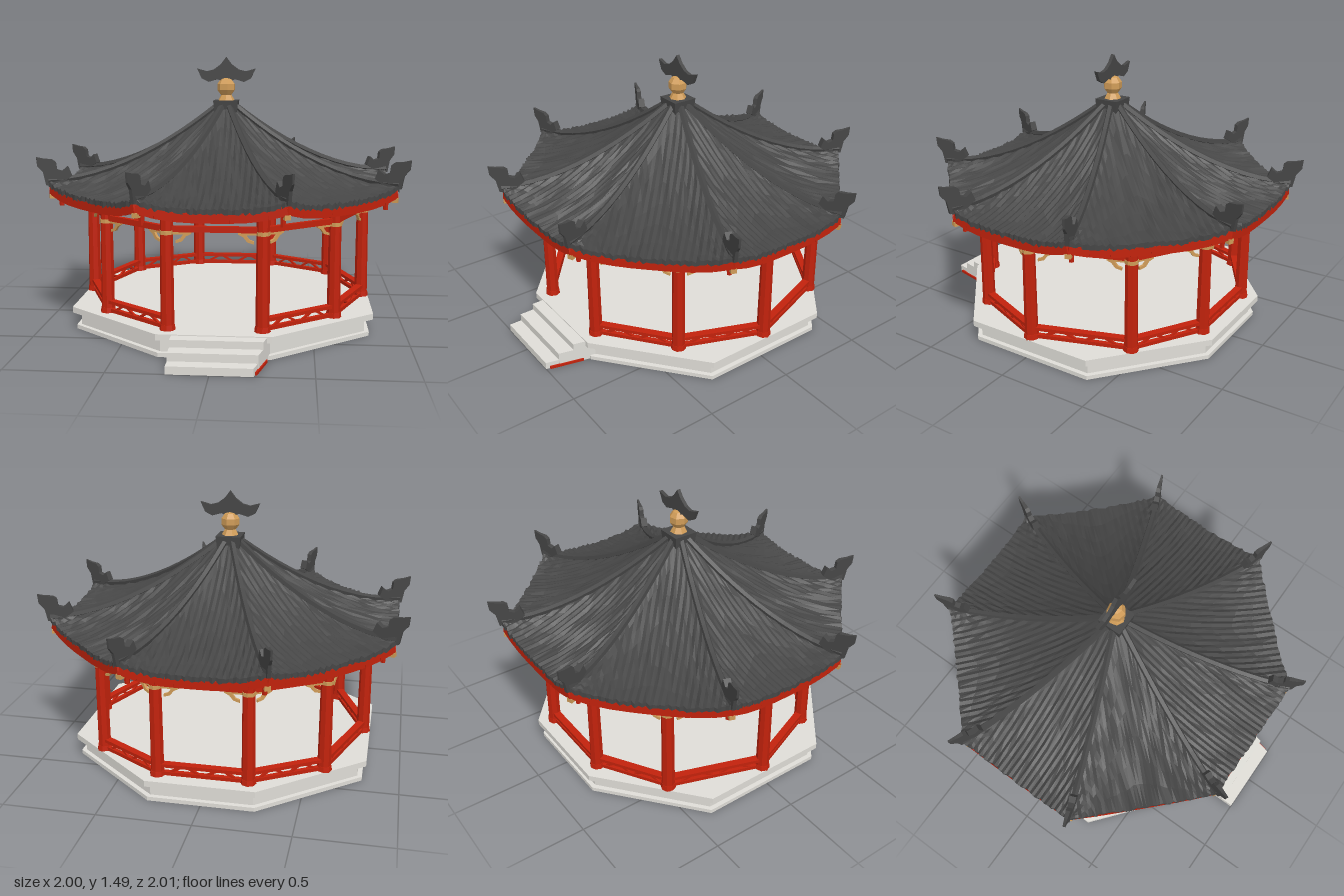
import * as THREE from 'three';

const mat = (name, color, extra = {}) =>
  new THREE.MeshStandardMaterial({ name, color, flatShading: true, ...extra });

// Roof octagon: even faces look along the axes, odd faces are the longer diagonals
const HALF = 0.365, SIDE = 0.94, CZ = -0.025;
const FACES = [
  { eave: SIDE, T: HALF / SIDE },
  { eave: (SIDE + HALF) / Math.SQRT2, T: (SIDE - HALF) / (SIDE + HALF) },
];

// Height of the roof: s = 0 at the axis, 1 at the eave; t = 0 mid face, 1 on the hip
const roofY = (s, t) =>
  0.775 + 0.48 * Math.pow(1 - Math.min(s, 1), 1.75) + 0.045 * s * Math.pow(t, 3);

let seed = 7;
const rand = () => {
  seed = (seed * 16807) % 2147483647;
  return seed / 2147483647 - 0.5;
};

export function createModel() {
  const model = new THREE.Group();
  const tile = mat('roof tile', 0x464646, { side: THREE.DoubleSide });
  const red = mat('red lacquer', 0xc2220c);
  const stone = mat('pale stone', 0xdfddd7);
  const gold = mat('gilded wood', 0xd09c58, { side: THREE.DoubleSide });

  const add = (parent, name, geo, material, x = 0, y = 0, z = 0) => {
    const m = new THREE.Mesh(geo, material);
    m.name = name;
    m.position.set(x, y, z);
    parent.add(m);
    return m;
  };
  const group = (name) => {
    const g = new THREE.Group();
    g.name = name;
    g.position.z = CZ;
    model.add(g);
    return g;
  };
  // Square timber between two points
  const beam = (parent, name, p, q, w, h, material = red) => {
    const m = new THREE.Mesh(new THREE.BoxGeometry(w, h, p.distanceTo(q)), material);
    m.name = name;
    m.position.copy(p).add(q).multiplyScalar(0.5);
    m.lookAt(q);
    parent.add(m);
  };
  // Upright plate cut from an outline, and a slab from a plan given as [x, z]
  const shape = (pts) => new THREE.Shape(pts.map(([x, y]) => new THREE.Vector2(x, y)));
  const plate = (pts, depth) =>
    new THREE.ExtrudeGeometry(shape(pts), { depth, bevelEnabled: false }).translate(0, 0, -depth / 2);
  const slab = (plan, depth) =>
    new THREE.ExtrudeGeometry(shape(plan.map(([x, z]) => [x, -z])), { depth, bevelEnabled: false })
      .rotateX(-Math.PI / 2);

  // Eight-sided platform in three layers
  const platform = group('platform');
  const layer = (name, inset, y0, y1) => {
    const x = 0.82 - inset, z = 0.81 - inset, hx = 0.29 - inset * 0.4, hz = 0.37 - inset * 0.4;
    add(platform, name, slab([[hx, z], [x, hz], [x, -hz], [hx, -z],
      [-hx, -z], [-x, -hz], [-x, hz], [-hx, z]], y1 - y0), stone, 0, y0);
  };
  layer('plinth', 0.02, 0, 0.022);
  layer('wall', 0.045, 0.022, 0.092);
  layer('floorSlab', 0, 0.092, 0.125);

  // Front steps, splayed on the left side
  [[1.0, 0.04, 0.21], [0.93, 0.082, 0.23], [0.85, 0.12, 0.25]].forEach(([z, h, x], i) => {
    add(model, 'step' + (i + 1),
      slab([[-0.21, z], [x, z], [x + (z - 0.7) * 0.25, 0.7], [-0.21, 0.7]], h), stone);
  });
  beam(model, 'stepTrim', new THREE.Vector3(0.22, 0.008, 0.98), new THREE.Vector3(0.265, 0.008, 0.8), 0.01, 0.014);

  // Ring of ten columns with beams, brackets and low railings
  const frame = group('frame');
  const half = [[0.24, -0.725], [0.605, -0.505], [0.78, 0], [0.605, 0.44], [0.24, 0.725]];
  const ring = [...half, ...half.map(([x, z]) => [-x, z]).reverse()];
  const bracket = plate([[0, 0.06], [0.09, 0.06], [0.09, 0.048], [0.065, 0.036],
    [0.045, 0.01], [0.012, 0], [0.012, 0.014], [0.034, 0.022], [0.05, 0.045], [0, 0.045]], 0.014);
  for (let i = 0; i < 10; i++) {
    const [x0, z0] = ring[i], [x1, z1] = ring[(i + 1) % 10];
    const at = (f, y) => new THREE.Vector3(x0 + (x1 - x0) * f, y, z0 + (z1 - z0) * f);
    add(frame, 'column', new THREE.CylinderGeometry(0.032, 0.036, 0.64, 8), red, x0, 0.44, z0);
    add(frame, 'columnBase', new THREE.CylinderGeometry(0.038, 0.042, 0.03, 8), red, x0, 0.138, z0);
    add(frame, 'columnCollar', new THREE.CylinderGeometry(0.036, 0.036, 0.02, 8), gold, x0, 0.625, z0);
    beam(frame, 'topBeam', at(0, 0.745), at(1, 0.745), 0.035, 0.04);
    beam(frame, 'tieBeam', at(0, 0.642), at(1, 0.642), 0.025, 0.03);
    // Gilded brackets under the tie beam
    const yaw = Math.atan2(z0 - z1, x1 - x0);
    for (const [f, turn] of [[0.07, 0], [0.93, Math.PI]]) {
      const b = add(frame, 'bracket', bracket, gold);
      b.position.copy(at(f, 0.57));
      b.rotation.y = yaw + turn;
    }
    // Railings everywhere except the front entrance
    if (i !== 4) {
      beam(frame, 'handRail', at(0, 0.185), at(1, 0.185), 0.04, 0.018);
      beam(frame, 'footRail', at(0, 0.138), at(1, 0.138), 0.024, 0.02);
      for (let k = 1; k < 5; k++) {
        beam(frame, 'railBrace', at(k / 5 - 0.08, k % 2 ? 0.138 : 0.18),
          at(k / 5 + 0.08, k % 2 ? 0.18 : 0.138), 0.012, 0.012);
      }
    }
  }

  // Eight-sided roof
  const roof = group('roof');
  roof.scale.z = 0.985;
  const place = (k, a, u, y) => {
    const c = Math.cos((k * Math.PI) / 4), s = Math.sin((k * Math.PI) / 4);
    return new THREE.Vector3(c * a - s * u, y, s * a + c * u);
  };
  const horn = plate([[0.88, 0.85], [0.90, 0.90], [0.93, 0.875], [0.96, 0.885], [0.965, 0.925],
    [0.985, 0.94], [1.03, 0.945], [1.07, 0.955], [1.065, 0.905], [1.035, 0.87], [1.02, 0.80], [0.95, 0.80]], 0.03);
  const hp = horn.attributes.position;
  for (let i = 0; i < hp.count; i++) hp.setZ(i, hp.getZ(i) * (1.4 - (hp.getX(i) - 0.88) * 5.5));

  const N = 44, R = 7, W = R + 2, M = 8;
  for (let k = 0; k < 8; k++) {
    const { eave, T } = FACES[k % 2];
    // Each face is a sheet of uneven tile ribs running down the slope
    const pos = [], idx = [];
    for (let i = 0; i <= N; i++) {
      const u = (i / N * 2 - 1) * eave * T;
      const a0 = Math.max(0.05, Math.abs(u) / T);
      const inner = i > 0 && i < N;
      const edge = eave + (inner ? rand() * 0.012 : 0);
      for (let j = 0; j <= R + 1; j++) {
        const a = a0 + (edge - a0) * Math.min(j / R, 1);
        let y = roofY(a / eave, Math.min(Math.abs(u) / (a * T), 1));
        if (inner && j > 0) y += (i % 2 ? 0.004 : -0.004) + rand() * 0.009;
        if (j > R) y -= 0.025;
        pos.push(...place(k, a, u, y).toArray());
      }
    }
    for (let i = 0; i < N; i++) for (let j = 0; j <= R; j++) {
      const p = i * W + j;
      idx.push(p, p + W, p + 1, p + 1, p + W, p + W + 1);
    }
    const g = new THREE.BufferGeometry();
    g.setAttribute('position', new THREE.Float32BufferAttribute(pos, 3));
    g.setIndex(idx);
    g.computeVertexNormals();
    add(roof, 'roofFace', g, tile);

    // Curved hip ridge and its upturned end
    const hip = [];
    for (let j = 0; j <= 8; j++) {
      const a = 0.05 + (eave - 0.05) * j / 8;
      hip.push(place(k, a, a * T, roofY(a / eave, 1) + 0.004));
    }
    add(roof, 'hipRidge', new THREE.TubeGeometry(new THREE.CatmullRomCurve3(hip), 12, 0.018, 5), tile);
    const ang = k * Math.PI / 4 + Math.atan(T);
    add(roof, 'upturnedEnd', horn, tile).rotation.y = -ang;

    // Eave boards, purlins and rafters; s runs from axis to eave
    const under = (s, t, drop) =>
      place(k, s * eave, t * s * eave * T, roofY(s, Math.abs(t)) - drop);
    for (let j = 0; j < M; j++) {
      const t0 = j / M * 2 - 1, t1 = (j + 1) / M * 2 - 1, t = (t0 + t1) / 2;
      beam(roof, 'eaveBoard', under(0.984, t0, 0.045), under(0.984, t1, 0.045), 0.022, 0.046);
      beam(roof, 'innerPurlin', under(0.88, t0, 0.05), under(0.88, t1, 0.05), 0.03, 0.03);
      beam(roof, 'rafter', under(0.975, t, 0.045), under(0.81, t, 0.035), 0.014, 0.016);
    }
    beam(roof, 'hipRafter', under(0.98, 1, 0.06), under(0.74, 1, 0.05), 0.04, 0.045);
    // Hanging post and gilded tip below each corner
    const p = under(0.93, 1, 0);
    add(roof, 'cornerPendant', new THREE.CylinderGeometry(0.018, 0.013, 0.08, 6), red, p.x, 0.725, p.z);
    const q = under(0.98, 1, 0);
    add(roof, 'cornerTip', new THREE.BoxGeometry(0.03, 0.025, 0.03), gold, q.x, 0.74, q.z).rotation.y = -ang;
  }

  // Cap, gilded ball and winged finial
  const finial = group('finial');
  add(finial, 'cap', new THREE.CylinderGeometry(0.098, 0.088, 0.07, 4, 1, false, Math.PI / 4), tile, 0, 1.212);
  add(finial, 'neck', new THREE.CylinderGeometry(0.024, 0.05, 0.045, 7), gold, 0, 1.265);
  add(finial, 'ball', new THREE.SphereGeometry(0.054, 7, 5), gold, 0, 1.322);
  const wing = [[0.03, 1.45], [0.07, 1.42], [0.11, 1.41], [0.165, 1.425], [0.14, 1.37], [0.10, 1.35], [0.05, 1.365]];
  add(finial, 'wingedPlate', plate([[0, 1.49], ...wing, [0, 1.345],
    ...wing.map(([x, y]) => [-x, y]).reverse()], 0.02), tile);

  return model;
}
